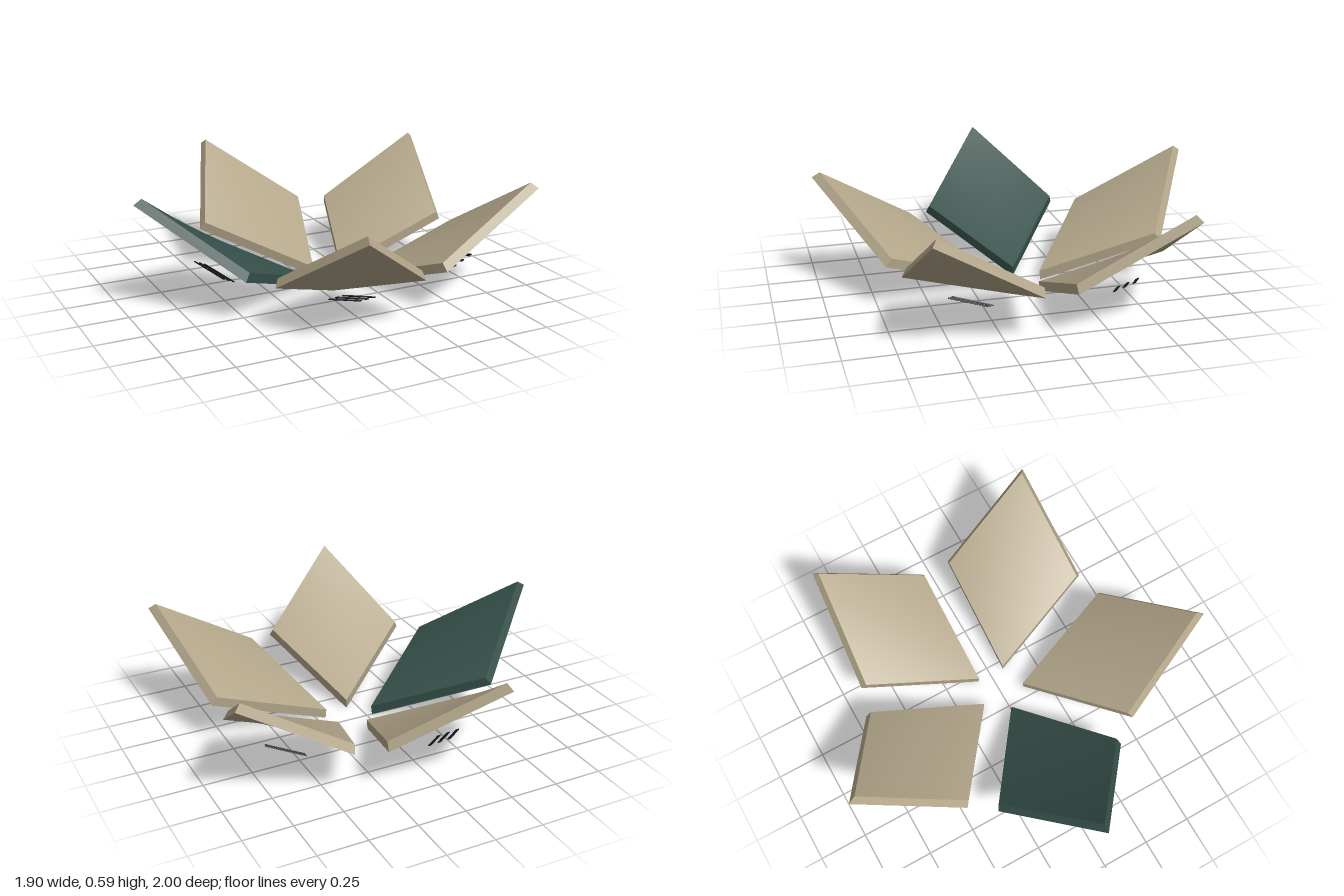
import * as THREE from 'three';
import { mergeGeometries } from 'three/addons/utils/BufferGeometryUtils.js';
import { ParametricGeometry } from 'three/addons/geometries/ParametricGeometry.js';

const OUTER = 1.25;   // radius of the sphere the outside corners lie on
const INNER = 1.2;    // radius for the inside corners
const CENTRE_Y = 1.25;

// Bilinear patch through four corners, counter-clockwise from its front
function patch(a, b, c, d, n) {
  return new ParametricGeometry((u, v, target) => {
    target.set(0, 0, 0)
      .addScaledVector(a, (1 - u) * (1 - v))
      .addScaledVector(b, u * (1 - v))
      .addScaledVector(c, u * v)
      .addScaledVector(d, (1 - u) * v);
  }, n, n);
}

// Thick four-cornered shell tile, pointing outward along +x
function tileGeometry() {
  const plan = [[0.13, 0], [0.63, 0.36], [1.05, 0], [0.63, -0.36]];
  const corners = (radius) => plan.map(([x, z]) => {
    const drop = Math.sqrt(OUTER ** 2 - x * x - z * z);
    return new THREE.Vector3(x, -drop, z)
      .multiplyScalar(radius / OUTER)
      .add(new THREE.Vector3(0, CENTRE_Y, 0));
  });
  const b = corners(OUTER);
  const t = corners(INNER);
  const parts = [
    patch(t[0], t[1], t[2], t[3], 12),
    patch(b[3], b[2], b[1], b[0], 12),
  ];
  for (let i = 0; i < 4; i++) {
    const j = (i + 1) % 4;
    parts.push(patch(b[i], b[j], t[j], t[i], 1));
  }
  return mergeGeometries(parts);
}

export function createModel() {
  const sand = new THREE.MeshStandardMaterial({ color: 0xb3a68a });
  sand.name = 'sand';
  const green = new THREE.MeshStandardMaterial({ color: 0x36504a });
  green.name = 'darkGreen';
  const black = new THREE.MeshStandardMaterial({ color: 0x121815 });
  black.name = 'nearBlack';

  const model = new THREE.Group();
  model.name = 'petalShell';
  const tile = tileGeometry();
  const bar = new THREE.BoxGeometry(0.196, 0.005, 0.016);

  for (let i = 0; i < 5; i++) {
    const petal = new THREE.Group();
    petal.name = `petal${i + 1}`;
    petal.position.x = 0.1;
    petal.rotation.y = Math.PI + i * Math.PI * 2 / 5;
    model.add(petal);

    const panel = new THREE.Mesh(tile, i === 0 ? green : sand);
    panel.name = 'panel';
    petal.add(panel);

    // Three slanted bars floating just under the panel
    const swing = new THREE.Group();
    swing.name = 'ventBars';
    swing.position.y = CENTRE_Y;
    swing.rotation.z = Math.asin(0.65 / 1.26);
    petal.add(swing);
    const rack = new THREE.Group();
    rack.name = 'ventRack';
    rack.position.y = -1.26;
    rack.rotation.y = -1.018;
    swing.add(rack);
    for (let k = -1; k <= 1; k++) {
      const slat = new THREE.Mesh(bar, black);
      slat.name = 'ventBar';
      slat.position.z = k * 0.05;
      rack.add(slat);
    }
  }
  return model;
}
